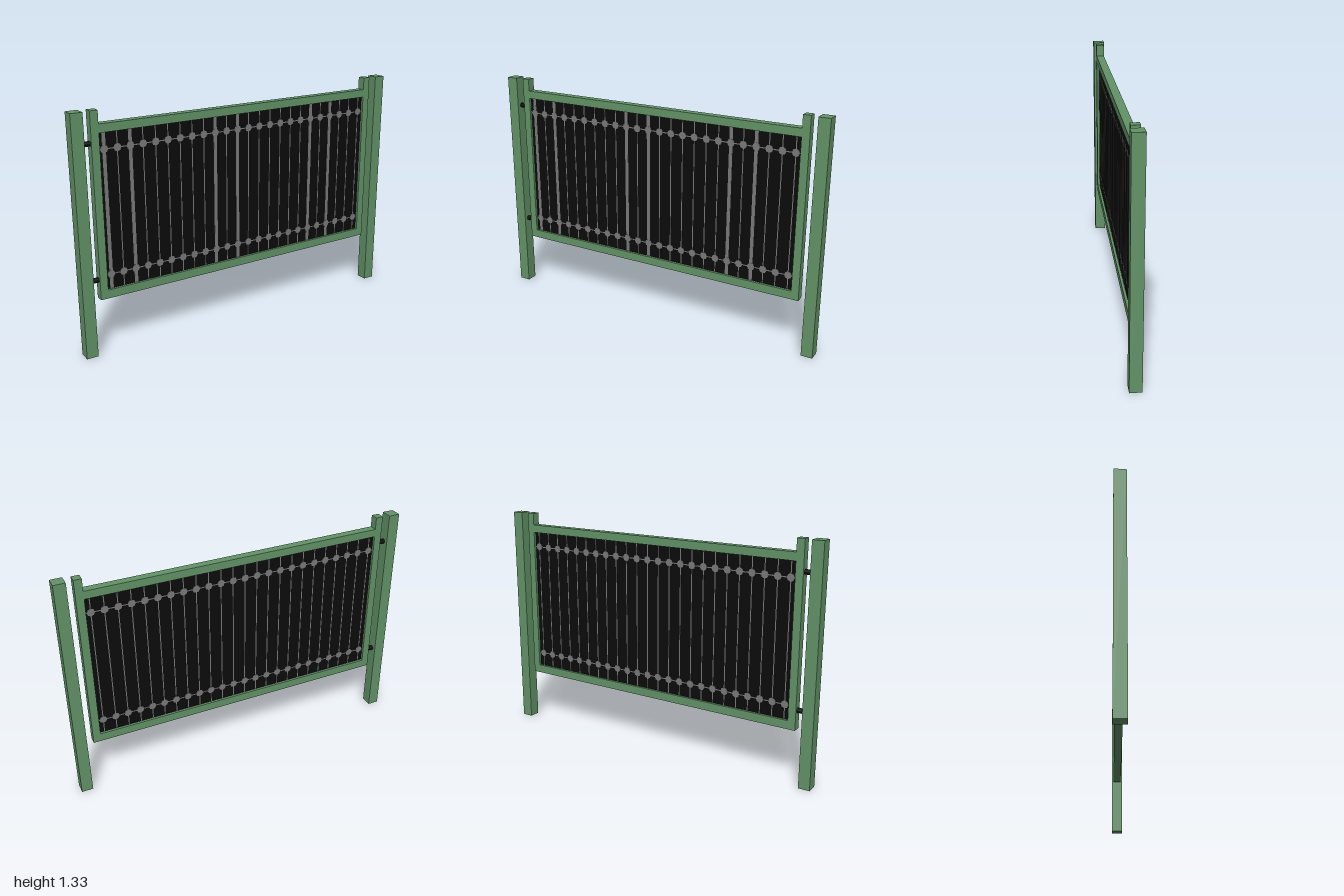
import * as THREE from 'three';

export function createModel() {
  const gate = new THREE.Group();
  gate.name = 'gate';

  const material = (name, color) => {
    const m = new THREE.MeshStandardMaterial({ color });
    m.name = name;
    return m;
  };
  const green = material('green paint', 0x629367);
  const black = material('black metal', 0x0b0b0b);
  const grey = material('grey metal', 0x7a7a7a);

  const add = (name, geometry, mat, x, y, z = 0) => {
    const mesh = new THREE.Mesh(geometry, mat);
    mesh.name = name;
    mesh.position.set(x, y, z);
    gate.add(mesh);
    return mesh;
  };
  const box = (name, mat, x0, x1, y0, y1, depth, z = 0) =>
    add(name, new THREE.BoxGeometry(x1 - x0, y1 - y0, depth), mat, (x0 + x1) / 2, (y0 + y1) / 2, z);

  // Ground posts and the upright stiles of the leaf
  for (const s of [-1, 1]) {
    const post = box('post', green, 0.935, 1, 0, 1.325, 0.066);
    post.position.x *= s;
    const stile = box('stile', green, 0.853, 0.896, 0.315, 1.325, 0.046);
    stile.position.x *= s;
  }

  // Top and bottom rails
  box('topRail', green, -0.853, 0.853, 1.21, 1.255, 0.046);
  box('bottomRail', green, -0.853, 0.853, 0.315, 0.363, 0.046);

  // Infill sheet
  const half = 0.009;
  box('panel', black, -0.853, 0.853, 0.363, 1.21, half * 2);

  // Bars and collars laid on both faces of the sheet
  const count = 24, first = -0.826, pitch = 0.0718;
  const wideBars = [0, 2, 9, 11, 18, 20];
  const collarRows = [0.445, 1.122];
  const collar = new THREE.CylinderGeometry(0.022, 0.022, 0.004, 8).rotateX(Math.PI / 2);
  for (const side of [-1, 1]) {
    const z = side * half;
    for (let i = 0; i < count; i++) {
      const x = first + i * pitch;
      const w = side > 0 && wideBars.includes(i) ? 0.01 : 0.0028;
      box('bar', grey, x - w, x + w, 0.363, 1.21, 0.002, z);
      for (const y of collarRows) add('collar', collar, grey, x, y, z);
    }
    for (const y of collarRows) box('crossBar', grey, -0.853, 0.853, y - 0.003, y + 0.003, 0.0024, z);
  }

  // Hinge pins between post and leaf
  const pin = new THREE.CylinderGeometry(0.014, 0.014, 0.045, 12).rotateZ(Math.PI / 2);
  for (const y of [0.424, 1.157]) add('hinge', pin, black, -0.9155, y);

  return gate;
}
